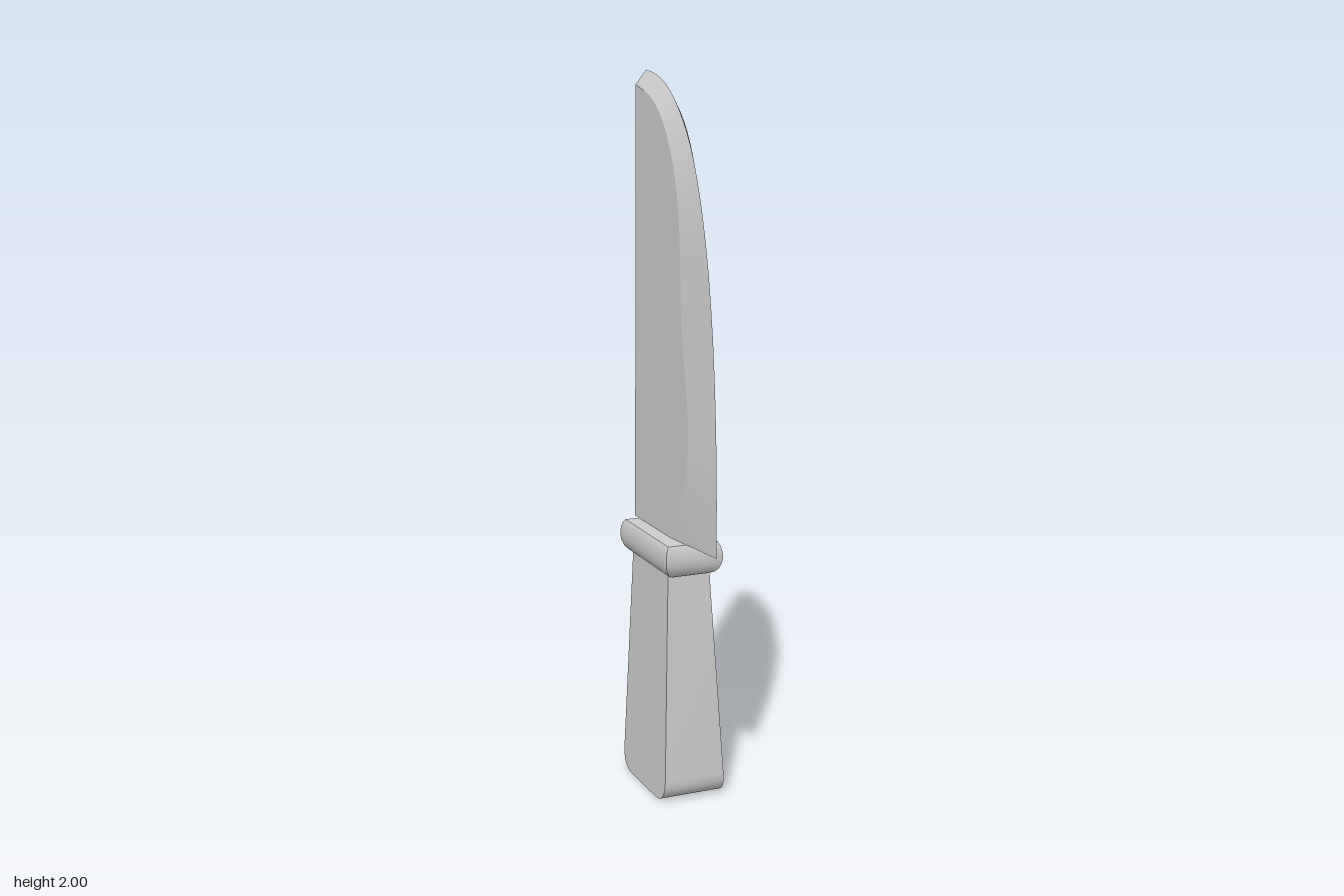
import * as THREE from 'three';
import { mergeGeometries, toCreasedNormals } from 'three/addons/utils/BufferGeometryUtils.js';

const material = new THREE.MeshStandardMaterial({ color: 0xcccccc });
const V = (x, y, z) => new THREE.Vector3(x, y, z);

// Smooth surface between two rows of points
function strip(a, b) {
  const geo = new THREE.BufferGeometry().setFromPoints([...a, ...b]);
  const n = a.length, index = [];
  for (let i = 0; i < n - 1; i++) index.push(i, n + i, i + 1, n + i, n + i + 1, i + 1);
  geo.setIndex(index);
  geo.computeVertexNormals();
  return geo;
}

// Evenly sampled curve through [z, y] pairs
function sample(pairs, x, count) {
  return new THREE.CatmullRomCurve3(pairs.map(([z, y]) => V(x, y, z))).getSpacedPoints(count);
}

// Blade: flat cheeks, wide bevels meeting in the cutting edge, flat spine
function bladeGeometry() {
  const count = 40, half = 0.031;
  const edge = sample([[0.25, 0.74], [0.248, 0.95], [0.238, 1.15], [0.218, 1.34], [0.185, 1.52],
    [0.137, 1.68], [0.075, 1.81], [0, 1.9], [-0.08, 1.96], [-0.16, 1.99], [-0.23, 2]], 0, count);
  const bevelLine = [[0.01, 0.74], [0.075, 0.84], [0.12, 0.96], [0.13, 1.09], [0.105, 1.23], [0.083, 1.37],
    [0.076, 1.52], [0.063, 1.65], [0.025, 1.77], [-0.04, 1.87], [-0.12, 1.93], [-0.23, 1.96]];
  const spineAt = (x, y) => V(x, y, -0.25 + 0.02 * (y - 0.74) / 1.26);
  const side = (x) => {
    const bevel = sample(bevelLine, x, count);
    return { bevel, spine: bevel.map((p) => spineAt(x, p.y)) };
  };
  const l = side(half), r = side(-half), tip = edge[count];
  return mergeGeometries([
    strip(edge, l.bevel), strip(l.bevel, l.spine),
    strip(r.bevel, edge), strip(r.spine, r.bevel),
    strip([...l.spine, tip], [...r.spine, tip]),
    strip([edge[0], l.bevel[0], l.spine[0]], [edge[0], r.bevel[0], r.spine[0]]),
  ]);
}

// Guard: rectangular collar with a bulging rim, stacked from [y, inset] rings
function guardGeometry() {
  const rings = [[0.648, 0.027], [0.654, 0.016], [0.664, 0.008], [0.678, 0.002], [0.692, 0],
    [0.706, 0], [0.72, 0.002], [0.732, 0.006], [0.74, 0.011]];
  const corners = ([y, d]) => {
    const x = 0.084 - d, z0 = -0.232 + d, z1 = 0.106 - d;
    return [V(x, y, z1), V(x, y, z0), V(-x, y, z0), V(-x, y, z1)];
  };
  const loops = rings.map(corners), parts = [];
  for (let i = 0; i < 4; i++) {
    parts.push(strip(loops.map((c) => c[i]), loops.map((c) => c[(i + 1) % 4])));
  }
  const top = loops[loops.length - 1], bottom = loops[0];
  parts.push(strip([top[3], top[2]], [top[0], top[1]]));
  parts.push(strip([bottom[0], bottom[1]], [bottom[3], bottom[2]]));
  return mergeGeometries(parts);
}

// Handle: side profile extruded across x, widening toward the rounded butt
function handleGeometry() {
  const s = new THREE.Shape(); // shape x is -z
  s.moveTo(-0.065, 0.66);
  s.lineTo(-0.108, 0.07);
  s.bezierCurveTo(-0.11, 0.025, -0.085, 0.004, -0.04, 0.004);
  s.lineTo(0.13, 0.004);
  s.bezierCurveTo(0.178, 0.004, 0.199, 0.025, 0.199, 0.07);
  s.lineTo(0.19, 0.66);
  s.closePath();
  const geo = new THREE.ExtrudeGeometry(s, { depth: 2, bevelEnabled: false, curveSegments: 12 });
  geo.translate(0, 0, -1).rotateY(Math.PI / 2);
  const p = geo.attributes.position;
  for (let i = 0; i < p.count; i++) {
    const y = p.getY(i);
    p.setX(i, p.getX(i) * (0.092 - 0.03 * y / 0.65));
    p.setY(i, Math.max(0, y - 0.004));
  }
  return toCreasedNormals(geo, 0.6);
}

export function createModel() {
  const group = new THREE.Group();
  group.name = 'knife';
  const parts = { blade: bladeGeometry(), guard: guardGeometry(), handle: handleGeometry() };
  for (const [name, geometry] of Object.entries(parts)) {
    const mesh = new THREE.Mesh(geometry, material);
    mesh.name = name;
    group.add(mesh);
  }
  return group;
}
